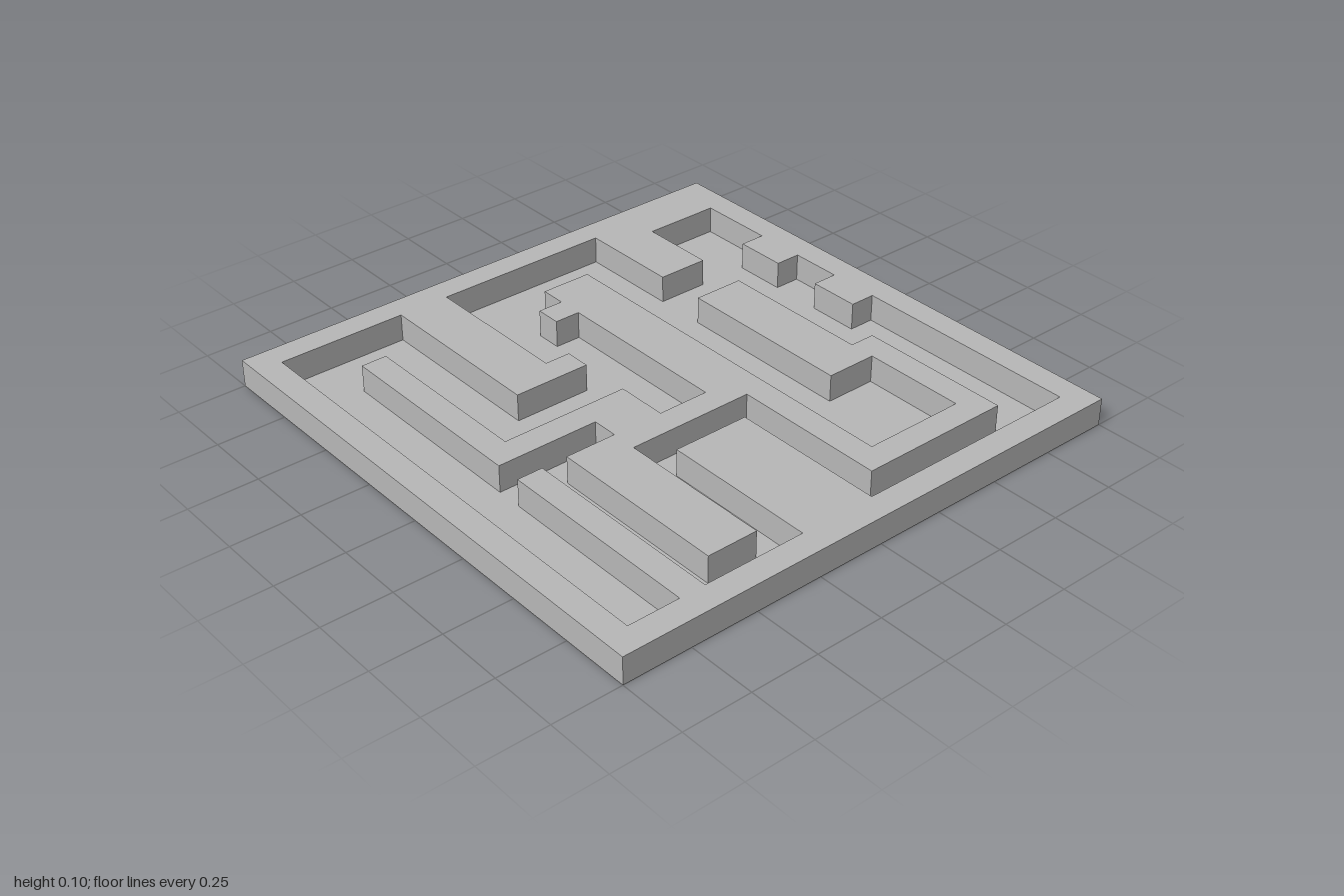
import * as THREE from 'three';

const CELLS = 21, CELL = 2 / CELLS, HEIGHT = 0.1;

// Corners of a right-angled loop: turns alternate between a new column and a new row
function trace(col, row, turns) {
  const points = [[col, row]];
  turns.forEach((t, i) => {
    if (i % 2 === 0) col = t; else row = t;
    points.push([col, row]);
  });
  return points.map(([c, r]) => new THREE.Vector2(c * CELL - 1, r * CELL - 1));
}

// Loops in plan, in grid cells from the back right corner
const outer = trace(0, 0, [CELLS, CELLS, 0]);
const recess = trace(1, 1, [6, 8, 9, 7, 8, 1, 15, 5, 17, 2, 20, 5, 19, 7, 20, 9, 19, 11,
  20, 20, 11, 14, 8, 20, 4, 12, 3, 20, 1]);
const island = trace(3, 3, [4, 10, 9, 12, 11, 5, 10, 4, 11, 3, 13, 18, 17, 14, 15, 7,
  17, 13, 18, 19, 12, 13, 7, 19, 5, 12, 7, 11, 3]);

// Horizontal sheet bounded by a loop, with an optional hole
function sheet(loop, hole, y) {
  const flip = (pts) => pts.map((p) => new THREE.Vector2(p.x, -p.y));
  const shape = new THREE.Shape(flip(loop));
  if (hole) shape.holes.push(new THREE.Path(flip(hole)));
  return new THREE.ShapeGeometry(shape).rotateX(-Math.PI / 2).translate(0, y, 0);
}

// Vertical wall along a loop, facing out of it or into it
function wall(loop, inward) {
  const pos = [];
  loop.forEach((p, i) => {
    const q = loop[(i + 1) % loop.length];
    const [a, b] = inward ? [p, q] : [q, p];
    pos.push(a.x, 0, a.y, b.x, 0, b.y, b.x, HEIGHT, b.y);
    pos.push(a.x, 0, a.y, b.x, HEIGHT, b.y, a.x, HEIGHT, a.y);
  });
  const geometry = new THREE.BufferGeometry();
  geometry.setAttribute('position', new THREE.Float32BufferAttribute(pos, 3));
  geometry.computeVertexNormals();
  return geometry;
}

export function createModel() {
  const group = new THREE.Group();
  group.name = 'maze';
  const grey = new THREE.MeshStandardMaterial({ color: 0xb8b8b8, side: THREE.DoubleSide });
  grey.name = 'grey';

  const parts = {
    // Raised border with its prongs, hollow underneath
    borderTop: sheet(outer, recess, HEIGHT),
    borderOuterWall: wall(outer, false),
    borderInnerWall: wall(recess, true),
    // Raised winding block in the middle, hollow underneath
    islandTop: sheet(island, null, HEIGHT),
    islandWall: wall(island, false),
    // Thin floor of the passages
    passageFloor: sheet(recess, island, 0),
  };
  for (const [name, geometry] of Object.entries(parts)) {
    const mesh = new THREE.Mesh(geometry, grey);
    mesh.name = name;
    group.add(mesh);
  }
  return group;
}
